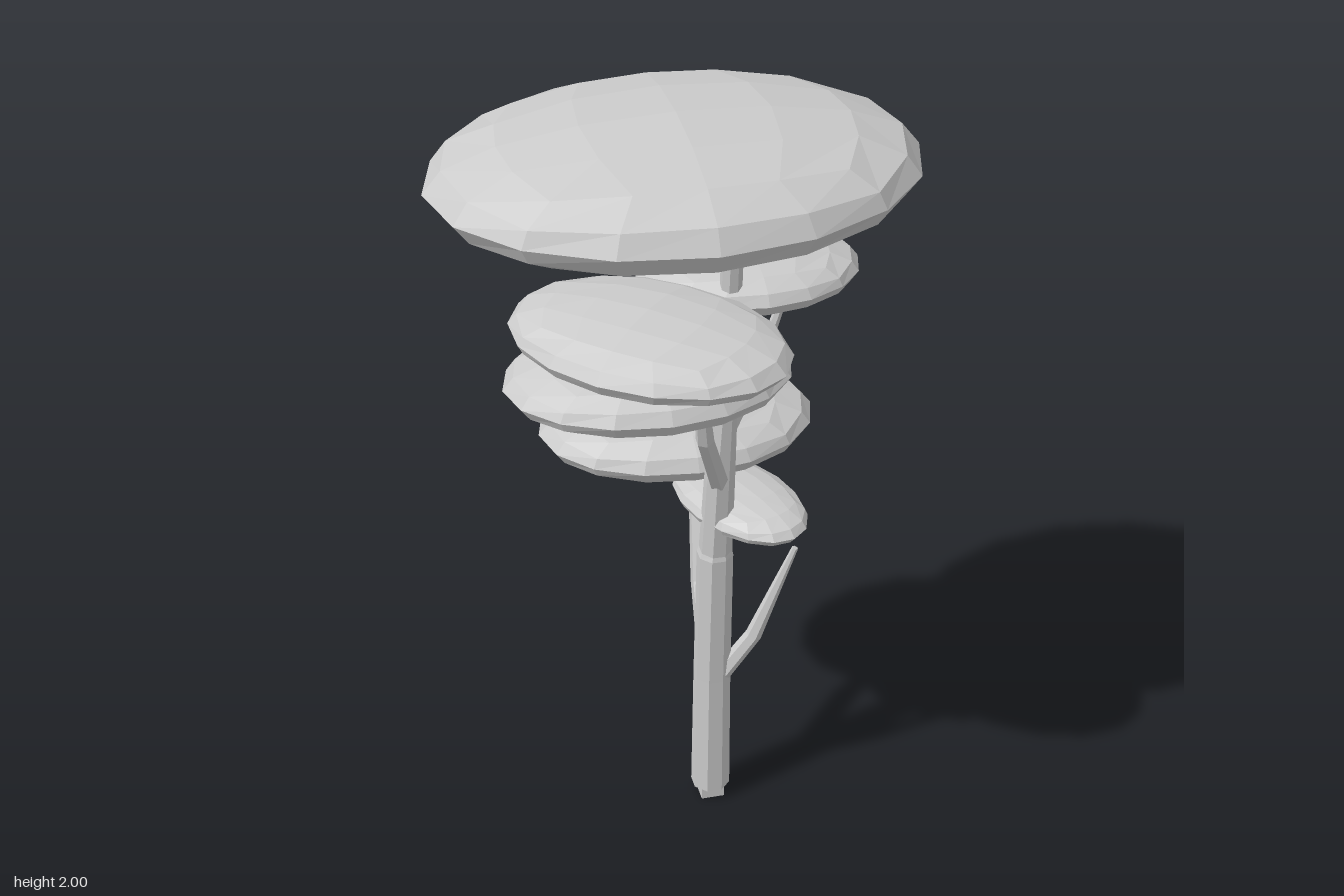
import * as THREE from 'three';

const material = new THREE.MeshStandardMaterial({ color: 0xcccccc, flatShading: true });

// Faceted ellipsoid: a cube grid projected evenly onto a sphere, then scaled.
function foliage(name, center, radii, yaw = 0, pitch = 0) {
  const geometry = new THREE.BoxGeometry(2, 2, 2, 4, 4, 4);
  const p = geometry.attributes.position;
  const v = new THREE.Vector3();
  const even = (t) => Math.tan((t * Math.PI) / 4);
  for (let i = 0; i < p.count; i++) {
    v.fromBufferAttribute(p, i);
    v.set(even(v.x), even(v.y), even(v.z)).normalize();
    p.setXYZ(i, v.x * radii[0], v.y * radii[1], v.z * radii[2]);
  }
  geometry.computeVertexNormals();
  const mesh = new THREE.Mesh(geometry, material);
  mesh.name = name;
  mesh.position.set(...center);
  mesh.rotation.set(pitch, yaw, 0);
  return mesh;
}

// Tapered limb through stations [x, y, z, radius], with closed ends.
function limb(name, stations, sides) {
  const points = stations.map((s) => new THREE.Vector3(s[0], s[1], s[2]));
  const last = points.length - 1;
  const up = new THREE.Vector3(0, 1, 0);
  const positions = [];
  const index = [];
  const addRing = (i, radius) => {
    const tangent = points[Math.min(i + 1, last)].clone().sub(points[Math.max(i - 1, 0)]).normalize();
    const turn = new THREE.Quaternion().setFromUnitVectors(up, tangent);
    for (let k = 0; k < sides; k++) {
      const a = ((k + 0.5) / sides) * Math.PI * 2;
      const v = new THREE.Vector3(Math.cos(a) * radius, 0, Math.sin(a) * radius);
      v.applyQuaternion(turn).add(points[i]);
      positions.push(v.x, v.y, v.z);
    }
  };
  addRing(0, 0);
  stations.forEach((s, i) => addRing(i, s[3]));
  addRing(last, 0);
  for (let r = 0; r < stations.length + 1; r++) {
    for (let k = 0; k < sides; k++) {
      const a = r * sides + k;
      const b = r * sides + ((k + 1) % sides);
      index.push(a, a + sides, b, b, a + sides, b + sides);
    }
  }
  const geometry = new THREE.BufferGeometry();
  geometry.setAttribute('position', new THREE.Float32BufferAttribute(positions, 3));
  geometry.setIndex(index);
  geometry.computeVertexNormals();
  const mesh = new THREE.Mesh(geometry, material);
  mesh.name = name;
  return mesh;
}

export function createModel() {
  const tree = new THREE.Group();
  tree.name = 'tree';

  // Trunk, leaning slightly forward, on a small square foot
  const foot = new THREE.Mesh(new THREE.BoxGeometry(0.06, 0.06, 0.06), material);
  foot.name = 'trunkFoot';
  foot.position.set(0.106, 0.03, -0.005);
  tree.add(foot);
  tree.add(limb('trunk', [
    [0.106, 0.037, -0.005, 0.051],
    [0.106, 0.4, 0.0, 0.048],
    [0.107, 0.785, 0.013, 0.046],
    [0.108, 0.8, 0.014, 0.042],
    [0.11, 1.02, 0.037, 0.038],
    [0.117, 1.28, 0.063, 0.028],
    [0.119, 1.8, 0.105, 0.025],
  ], 8));

  // Branches
  tree.add(limb('lowerSideBranch', [
    [0.12, 0.39, 0.01, 0.024], [0.205, 0.53, 0.035, 0.021], [0.3, 0.8, 0.06, 0.008],
  ], 6));
  tree.add(limb('lowerBackBranch', [
    [0.108, 0.38, 0.0, 0.036], [0.113, 0.6, -0.135, 0.032], [0.12, 0.98, -0.25, 0.02],
  ], 6));
  tree.add(limb('upperFrontBranch', [
    [0.105, 1.02, 0.05, 0.026], [0.04, 1.22, 0.165, 0.023], [0.0, 1.5, 0.255, 0.011],
  ], 6));
  tree.add(limb('upperSideBranch', [
    [0.12, 1.16, 0.055, 0.02], [0.205, 1.28, 0.0, 0.016], [0.265, 1.5, 0.02, 0.01],
  ], 6));

  // Flat foliage pads, from the crown down
  tree.add(foliage('crown', [0, 1.86, 0.032], [0.57, 0.14, 0.413], 0, 0.024));
  tree.add(foliage('upperFrontFoliage', [-0.1, 1.53, 0.2], [0.343, 0.076, 0.237], -0.73));
  tree.add(foliage('upperBackFoliage', [0.195, 1.54, -0.055], [0.27, 0.07, 0.2]));
  tree.add(foliage('middleFoliage', [-0.07, 1.352, 0.056], [0.345, 0.084, 0.252], 0, -0.02));
  tree.add(foliage('lowerBackFoliage', [0.067, 1.032, -0.239], [0.35, 0.087, 0.25], 0, 0.03));
  tree.add(foliage('lowerSmallFoliage', [0.183, 0.895, -0.043], [0.216, 0.05, 0.132], -1.16));
  return tree;
}
